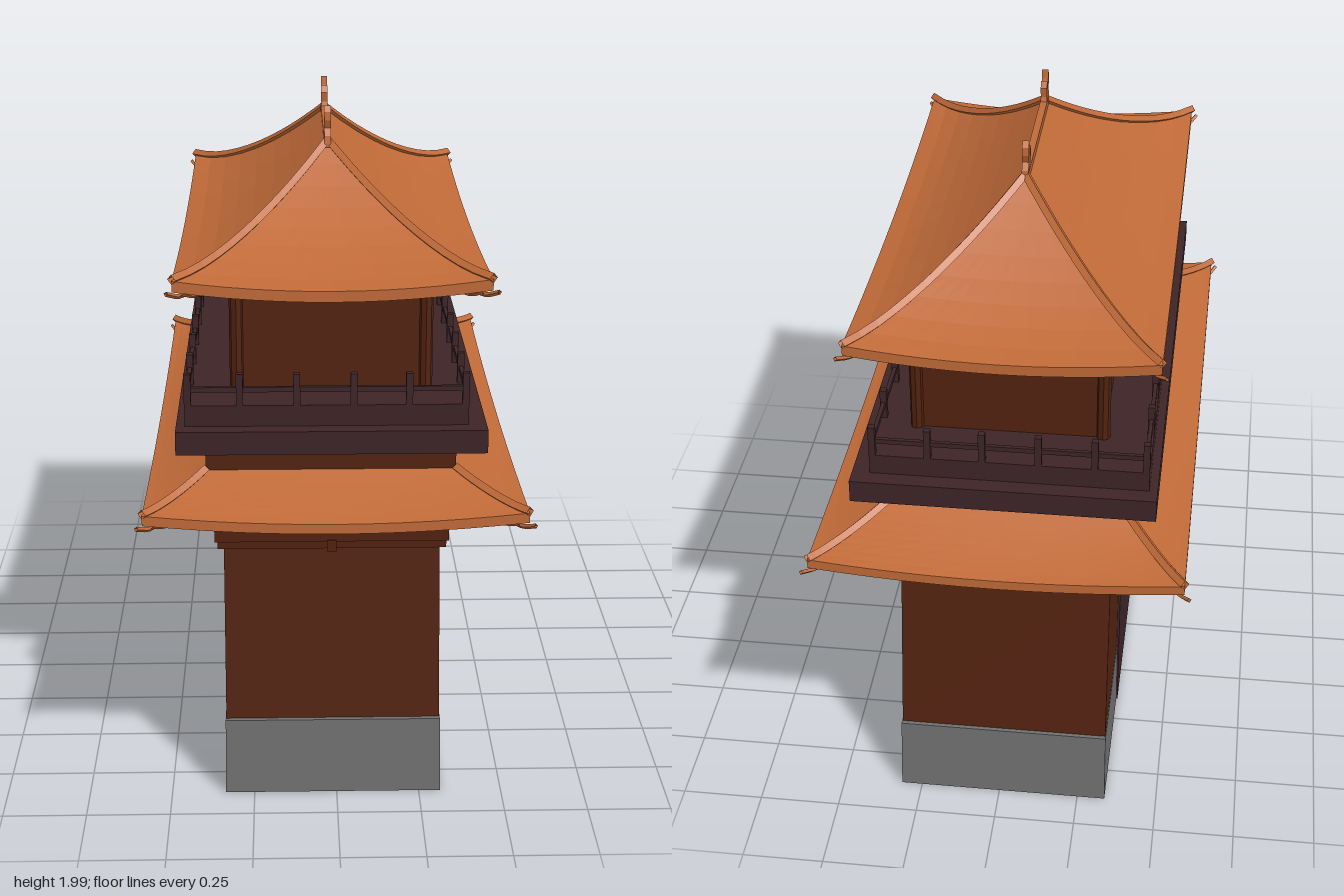
import * as THREE from 'three';

const mat = (name, color) => new THREE.MeshStandardMaterial({ name, color, side: THREE.DoubleSide });

export function createModel() {
  const tile = mat('terracotta tile', 0xc06a38);
  const brown = mat('brown wall', 0x52220f);
  const stone = mat('grey stone', 0x707070);
  const wood = mat('dark wood', 0x3d2427);
  const model = new THREE.Group();
  model.name = 'gateTower';

  const add = (name, geo, material, parent = model) => {
    const flat = geo.index ? geo.toNonIndexed() : geo;
    flat.computeVertexNormals();
    const mesh = new THREE.Mesh(flat, material);
    mesh.name = name;
    parent.add(mesh);
    return mesh;
  };
  const group = (name) => {
    const g = new THREE.Group();
    g.name = name;
    model.add(g);
    return g;
  };
  // Box given by its limits on each axis
  const box = (name, m, x0, x1, y0, y1, z0, z1, parent) => {
    const geo = new THREE.BoxGeometry(x1 - x0, y1 - y0, z1 - z0);
    geo.translate((x0 + x1) / 2, (y0 + y1) / 2, (z0 + z1) / 2);
    return add(name, geo, m, parent);
  };
  // Corners of a rectangle [x0, x1, z0, z1], going round
  const corners = ([x0, x1, z0, z1]) => [[x0, z1], [x1, z1], [x1, z0], [x0, z0]];
  const mix = THREE.MathUtils.lerp;

  // Four-sided surface between an upper and a lower rectangle; it can sag and lift at the corners
  const skirt = (name, m, top, yTop, low, yLow, parent, power = 1, lift = 0, ns = 1, nt = 1) => {
    const a = corners(top), b = corners(low);
    for (let i = 0; i < 4; i++) {
      const j = (i + 1) % 4;
      const geo = new THREE.PlaneGeometry(1, 1, ns, nt);
      const p = geo.attributes.position;
      for (let k = 0; k < p.count; k++) {
        const s = p.getX(k) + 0.5, t = 0.5 - p.getY(k);
        const x = mix(mix(a[i][0], a[j][0], s), mix(b[i][0], b[j][0], s), t);
        const z = mix(mix(a[i][1], a[j][1], s), mix(b[i][1], b[j][1], s), t);
        const y = yLow + (yTop - yLow) * (1 - t) ** power + lift * t * t * (2 * s - 1) ** 2;
        p.setXYZ(k, x, y, z);
      }
      add(name, geo, m, parent);
    }
  };

  // Curved hip roof with eave band, underside, hip ridges and curled corner ends
  const roof = (name, top, yTop, low, yLow, power, lift, thick) => {
    const g = group(name);
    skirt('roofTiles', tile, top, yTop, low, yLow, g, power, lift, 12, 8);
    skirt('roofUnderside', tile, top, yTop - thick, low, yLow - thick, g, power, lift, 12, 8);
    const a = corners(top), b = corners(low);
    for (let i = 0; i < 4; i++) {
      const j = (i + 1) % 4;
      const band = new THREE.PlaneGeometry(1, 1, 12, 1);
      const p = band.attributes.position;
      for (let k = 0; k < p.count; k++) {
        const s = p.getX(k) + 0.5;
        const y = yLow + lift * (2 * s - 1) ** 2 + (p.getY(k) - 0.5) * thick;
        p.setXYZ(k, mix(b[i][0], b[j][0], s), y, mix(b[i][1], b[j][1], s));
      }
      add('eaveBand', band, tile, g);

      const hip = [];
      for (let k = 0; k <= 8; k++) {
        const t = k / 8;
        hip.push(new THREE.Vector3(mix(a[i][0], b[i][0], t),
          yLow + (yTop - yLow) * (1 - t) ** power + lift * t * t + 0.004, mix(a[i][1], b[i][1], t)));
      }
      add('hipRidge', new THREE.TubeGeometry(new THREE.CatmullRomCurve3(hip), 12, 0.015, 4), tile, g);

      const sx = i === 0 || i === 3 ? -1 : 1, sz = i < 2 ? 1 : -1;
      for (const [inset, drop] of [[0, 0], [0.05, 0.012]]) {
        const at = (d, y) => new THREE.Vector3(b[i][0] + sx * (d - inset * 0.8), yLow + lift + y - drop,
          b[i][1] + sz * (d * 1.6 - inset));
        const curl = new THREE.CatmullRomCurve3([at(-0.06, -0.05), at(-0.02, -0.053), at(0.015, -0.03)]);
        add('cornerCurl', new THREE.TubeGeometry(curl, 6, 0.007, 4), tile, g);
      }
    }
    return g;
  };

  // Battered base, open underneath
  const base = group('base');
  const stoneTop = [-0.335, 0.312, -0.863, 0.862], wallLow = [-0.333, 0.31, -0.85, 0.847];
  skirt('stoneFooting', stone, stoneTop, 0.237, [-0.337, 0.315, -0.88, 0.875], 0, base);
  skirt('footingLedge', stone, wallLow, 0.237, stoneTop, 0.237, base);
  skirt('baseWall', brown, [-0.333, 0.306, -0.785, 0.797], 0.8, wallLow, 0.237, base);
  box('gateDoor', wood, -0.341, -0.328, 0, 0.775, -0.4, 0.375, base);

  // Beam band with little tabs, and the leaning board over the gate
  box('beamBand', brown, -0.36, 0.332, 0.8, 0.92, -0.81, 0.815);
  box('lowerBeam', brown, -0.352, 0.325, 0.775, 0.8, -0.802, 0.807);
  for (const z of [-0.62, -0.25, 0.25, 0.62]) box('beamTab', brown, -0.365, 0.337, 0.77, 0.825, z - 0.015, z + 0.015);
  box('beamTab', brown, -0.028, 0, 0.77, 0.805, -0.815, 0.82);
  const board = box('gateBoard', wood, -0.006, 0.006, -0.095, 0.095, -0.13, 0.13);
  board.position.set(-0.375, 0.815, -0.01);
  board.rotation.z = 0.33;

  // Lower skirt roof and the neck above it
  box('soffit', wood, -0.45, 0.43, 0.9, 0.915, -0.86, 0.865);
  roof('lowerRoof', [-0.385, 0.355, -0.735, 0.74], 1.0, [-0.56, 0.55, -0.972, 0.968], 0.918, 1.2, 0.03, 0.03);
  box('neck', brown, -0.385, 0.355, 0.97, 1.1, -0.735, 0.74);

  // Balcony
  const balcony = group('balcony');
  box('balconySlab', wood, -0.465, 0.435, 1.095, 1.165, -0.867, 0.87, balcony);
  box('balconyFloor', wood, -0.44, 0.382, 1.165, 1.228, -0.815, 0.82, balcony);
  const xs = [-0.43, -0.28, -0.115, 0.05, 0.21, 0.373];
  const zs = [-0.805, -0.605, -0.405, -0.2, 0.005, 0.22, 0.42, 0.62, 0.81];
  const post = (x, z) => box('railPost', wood, x - 0.01, x + 0.01, 1.22, 1.322, z - 0.01, z + 0.01, balcony);
  for (const z of [zs[0], zs[8]]) {
    xs.forEach((x) => post(x, z));
    box('handrail', wood, xs[0], xs[5], 1.267, 1.282, z - 0.006, z + 0.006, balcony);
  }
  for (const x of [xs[0], xs[5]]) {
    zs.slice(1, 8).forEach((z) => post(x, z));
    box('handrail', wood, x - 0.006, x + 0.006, 1.267, 1.282, zs[0], zs[8], balcony);
  }

  // Upper hall with columns, doors and lintel
  const hall = group('upperHall');
  box('hallWall', brown, -0.295, 0.27, 1.22, 1.6, -0.645, 0.665, hall);
  for (const x of [-0.29, 0.265]) for (const z of [-0.64, -0.22, 0.24, 0.66]) {
    const column = new THREE.CylinderGeometry(0.021, 0.021, 0.37, 8);
    column.translate(x, 1.405, z);
    add('column', column, brown, hall);
  }
  box('hallDoors', wood, -0.299, -0.294, 1.228, 1.54, -0.2, 0.22, hall);
  box('lintel', wood, 0.268, 0.276, 1.505, 1.54, -0.2, 0.22, hall);

  // Main roof, ridge and ridge-end ornaments
  const upper = roof('upperRoof', [-0.016, -0.014, -0.265, 0.27], 1.885, [-0.465, 0.44, -0.835, 0.852], 1.577, 1.5, 0.032, 0.032);
  box('ridge', tile, -0.026, -0.004, 1.85, 1.9, -0.265, 0.27, upper);
  const outline = [[-0.045, 1.87], [0.035, 1.87], [0.03, 1.905], [0.012, 1.925], [0.022, 1.95], [0.02, 1.975], [0.006, 1.992],
    [0.002, 1.965], [-0.008, 1.935], [-0.018, 1.932], [-0.022, 1.965], [-0.034, 1.945], [-0.03, 1.915]];
  for (const side of [1, -1]) {
    const shape = new THREE.Shape(outline.map(([z, y]) => new THREE.Vector2(z, y)));
    const geo = new THREE.ExtrudeGeometry(shape, { depth: 0.02, bevelEnabled: false });
    geo.translate(0, 0, -0.01);
    geo.rotateY(-side * Math.PI / 2);
    geo.translate(-0.015, 0, side > 0 ? 0.262 : -0.245);
    add('ridgeOrnament', geo, tile, upper);
  }
  return model;
}
